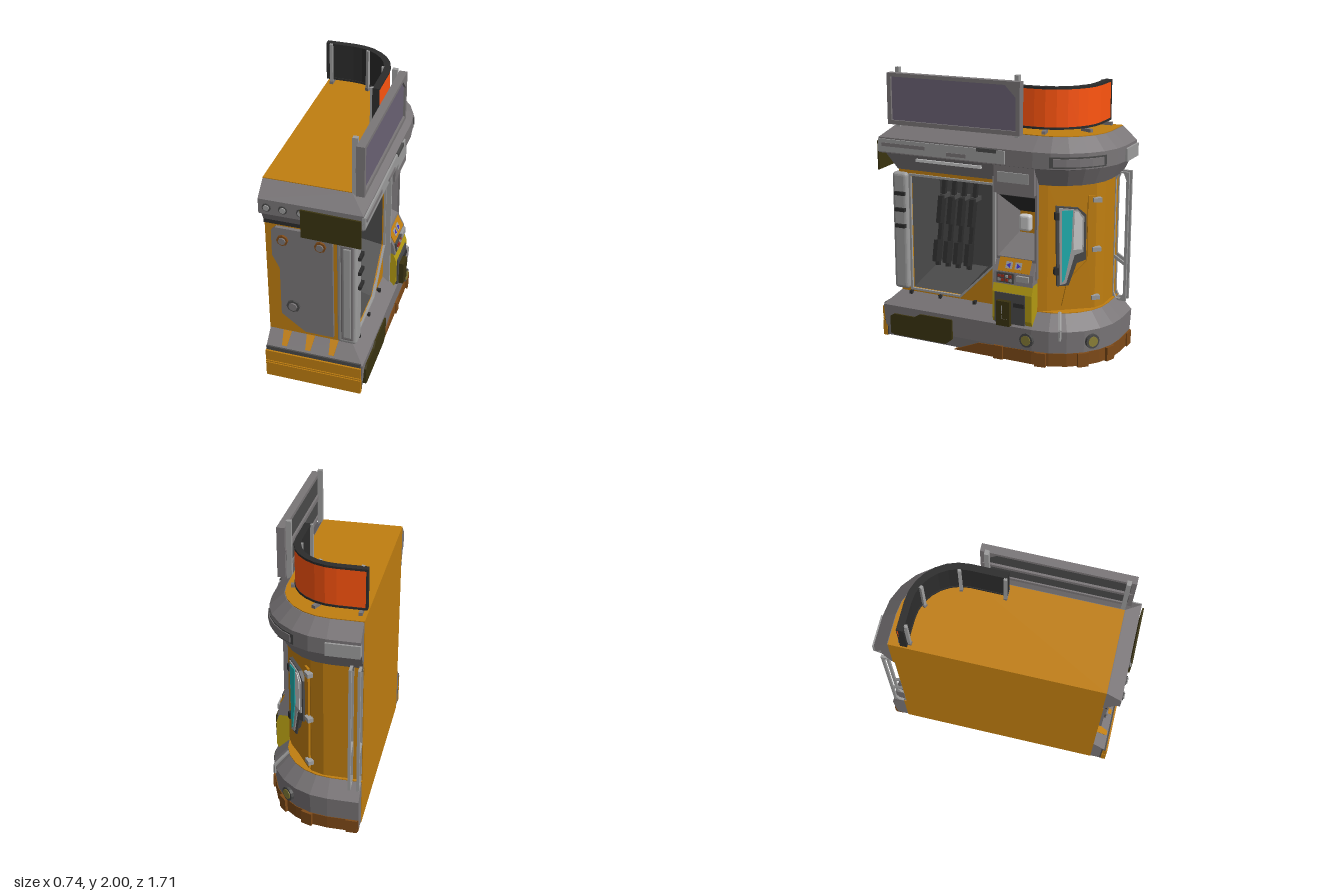
import * as THREE from 'three';
import { RoundedBoxGeometry } from 'three/addons/geometries/RoundedBoxGeometry.js';

const C = {
  orange: 0xc07e10, grey: 0x7a7678, light: 0x9c9c9c, dark: 0x4a4a4a, black: 0x2c2c2c, olive: 0x3a3310, lamp: 0x8a8038,
  flame: 0xff5510, purple: 0x6a6274, brown: 0x7e4a18, cyan: 0x1fb0b0, yellow: 0xb39a12, white: 0xdddddd, blue: 0x3a30c0, red: 0xa03020,
};
const CX = -0.15, CZ = -0.36, R = 0.48; // centre and radius of the rounded back corner
const rad = THREE.MathUtils.degToRad;

export function createModel() {
  const root = new THREE.Group();

  const add = (name, geo, color, pos = [0, 0, 0], rot = [0, 0, 0]) => {
    const m = new THREE.Mesh(geo, new THREE.MeshStandardMaterial({ color: C[color], flatShading: true, side: THREE.DoubleSide }));
    m.name = name;
    m.position.set(...pos);
    m.rotation.set(...rot);
    root.add(m);
    return m;
  };
  // box from min/max ranges
  const box = (name, color, [x0, x1], [y0, y1], [z0, z1]) =>
    add(name, new THREE.BoxGeometry(x1 - x0, y1 - y0, z1 - z0), color, [(x0 + x1) / 2, (y0 + y1) / 2, (z0 + z1) / 2]);
  const shapeOf = (pts, hole) => {
    const s = new THREE.Shape(pts.map(p => new THREE.Vector2(...p)));
    if (hole) s.holes.push(new THREE.Path(hole.map(p => new THREE.Vector2(...p))));
    return s;
  };
  const extrude = (pts, depth, hole) => new THREE.ExtrudeGeometry(shapeOf(pts, hole), { depth, bevelEnabled: false });
  // [z, y] outline, thickened towards +x
  const sidePanel = (name, color, pts, x, depth, hole) => {
    const flip = a => a && a.map(([z, y]) => [-z, y]);
    return add(name, extrude(flip(pts), depth, flip(hole)).rotateY(Math.PI / 2), color, [x, 0, 0]);
  };
  // [x, z] plan outline, raised from y0 to y1
  const prism = (name, color, pts, y0, y1) =>
    add(name, extrude(pts.map(([x, z]) => [x, -z]), y1 - y0).rotateX(-Math.PI / 2), color, [0, y0, 0]);
  const arc = (r, a0, a1, n = 6, cx = CX, cz = CZ) => Array.from({ length: n + 1 }, (_, i) => {
    const a = rad(a0 + (a1 - a0) * i / n);
    return [cx + r * Math.cos(a), cz - r * Math.sin(a)];
  });
  const sector = (name, color, r0, r1, a0, a1, y0, y1, n = 4) =>
    prism(name, color, [...arc(r1, a0, a1, n), ...arc(r0, a0, a1, n).reverse()], y0, y1);
  // plan of the cabinet, pulled in by d
  const plan = (d, x = -0.37) => [[x, 0.83 - d], [0.33 - d, 0.83 - d], ...arc(R - d, 0, 90), [x, CZ - R + d]];
  // skin over equal-length loops of [x, y, z]
  const loft = (loops, capStart = true) => {
    const n = loops[0].length, idx = [];
    loops.slice(1).forEach((_, k) => {
      for (let i = 0; i < n; i++) {
        const a = k * n + i, b = k * n + (i + 1) % n;
        idx.push(a, b, b + n, a, b + n, a + n);
      }
    });
    const last = (loops.length - 1) * n;
    for (let i = 1; i < n - 1; i++) {
      idx.push(last, last + i, last + i + 1);
      if (capStart) idx.push(0, i + 1, i);
    }
    const g = new THREE.BufferGeometry();
    g.setAttribute('position', new THREE.Float32BufferAttribute(loops.flat(2), 3));
    g.setIndex(idx);
    const out = g.toNonIndexed();
    out.computeVertexNormals();
    return out;
  };
  const ring = (name, color, steps) =>
    add(name, loft(steps.map(([y, d]) => plan(d, -0.368).map(([x, z]) => [x, y, z]))), color);
  // place something on the rounded corner, facing outward
  const onArc = (m, a, r, y) => {
    const [[x, z]] = arc(r, a, a, 1);
    m.position.set(x, y, z);
    m.rotation.y = rad(a) + Math.PI / 2;
  };
  const disc = (r, h, n = 12) => new THREE.CylinderGeometry(r, r, h, n).rotateX(Math.PI / 2);

  // core cabinet with room for the open bay and a flat chamfer at the back corner
  prism('lowerCore', 'orange', plan(0.1), 0.01, 0.365);
  prism('upperCore', 'orange', plan(0.105), 1.265, 1.605);
  box('leftWall', 'orange', [-0.37, -0.17], [0.36, 1.27], [-0.4, 0.73]);
  box('frontWall', 'orange', [-0.37, 0.23], [0.36, 1.27], [0.64, 0.73]);
  prism('chamferedBack', 'orange', [[-0.37, CZ], [0.23, CZ], [0.2, -0.42], [-0.01, -0.69], [-0.1, -0.72], [-0.37, -0.72]], 0.36, 1.27);
  ring('baseRing', 'grey', [[0.02, 0.02], [0.1, 0.01], [0.26, 0], [0.36, 0.1]]);
  ring('crownRing', 'grey', [[1.27, 0.095], [1.39, 0.035], [1.4, 0], [1.51, 0], [1.6, 0.1]]);

  // open bay with frame and racked tools
  const bay = [[0.63, 0.39], [0.24, 0.39], [-0.03, 0.66], [-0.03, 1.23], [0.63, 1.23]];
  const bayBack = [[0.62, 0.49], [0.22, 0.49], [-0.02, 0.73], [-0.02, 1.22], [0.62, 1.22]];
  sidePanel('bayWall', 'orange', [[0.73, 0.36], [-0.06, 0.36], [-0.06, 1.27], [0.73, 1.27]], 0.2, 0.03, bay);
  add('bayLining', loft([bay.map(([z, y]) => [0.22, y, z]), bayBack.map(([z, y]) => [-0.16, y, z])], false), 'dark');
  sidePanel('bayFrame', 'light', [[0.645, 0.375], [0.235, 0.375], [-0.045, 0.655], [-0.045, 1.245], [0.645, 1.245]], 0.225, 0.02, bay);
  for (const z of [0.55, 0.465, 0.38, 0.29]) {
    const tilt = [0, 0, 0.2];
    add('toolBarrel', new THREE.BoxGeometry(0.03, 0.7, 0.03), 'black', [-0.06, 0.85, z], tilt);
    add('toolBody', new THREE.BoxGeometry(0.06, 0.2, 0.036), 'black', [-0.05, 0.92, z], tilt);
    add('toolStock', new THREE.BoxGeometry(0.08, 0.16, 0.034), 'black', [0.01, 0.62, z], tilt);
    box('toolRest', 'dark', [-0.16, -0.07], [1.0, 1.03], [z - 0.02, z + 0.02]);
  }
  [0.64, 0.4, 0.12].forEach(z => box('bayPin', 'black', [0.22, 0.26], [0.345, 0.37], [z - 0.01, z + 0.01]));

  // front corner post
  add('cornerPost', new RoundedBoxGeometry(0.14, 0.87, 0.12, 2, 0.025), 'light', [0.2, 0.815, 0.71]);
  add('postRib', new RoundedBoxGeometry(0.09, 0.8, 0.02, 2, 0.01), 'grey', [0.205, 0.815, 0.765]);
  add('postRibInner', new RoundedBoxGeometry(0.06, 0.76, 0.02, 2, 0.01), 'light', [0.205, 0.815, 0.77]);
  [1.1, 0.98, 0.86].forEach(y => box('postClip', 'black', [0.25, 0.29], [y - 0.013, y + 0.013], [0.66, 0.74]));

  // front plate, bolts, bumper and sign
  const plate = [[-0.32, 1.22], [-0.29, 1.25], [0.07, 1.25], [0.1, 1.22], [0.1, 0.4], [-0.1, 0.4], [-0.27, 0.53], [-0.27, 0.92], [-0.32, 1.02]];
  add('frontPlate', extrude(plate, 0.03), 'grey', [0, 0, 0.725]);
  [[-0.24, 1.16, 0.04], [0.02, 1.16, 0.04], [-0.18, 0.62, 0.048]].forEach(([x, y, r], i) => {
    add('boltRing', disc(r, 0.02, 8), i < 2 ? 'brown' : 'dark', [x, y, 0.76]);
    add('boltHead', disc(r * 0.65, 0.03, 8), 'grey', [x, y, 0.765]);
  });
  [-0.31, -0.2, -0.08].forEach(x => {
    add('crownBoltRing', disc(0.03, 0.01), 'dark', [x, 1.455, 0.833]);
    add('crownBolt', disc(0.02, 0.02), 'light', [x, 1.455, 0.835]);
  });
  [-0.24, -0.07, 0.1].forEach(x =>
    add('bevelNotch', extrude([[-0.018, 0.03], [0.018, 0.03], [0.03, 0.14], [-0.03, 0.14]], 0.006), 'orange', [x, 0.26, 0.83], [-Math.PI / 4, 0, 0]));
  box('bumperBacking', 'dark', [-0.368, 0.318], [0.02, 0.27], [0.8, 0.832]);
  [[0.015, 0.13], [0.137, 0.148], [0.155, 0.24]].forEach(y => box('bumperBar', 'orange', [-0.37, 0.32], y, [0.81, 0.845]));
  add('frontSign', extrude([[-0.08, 1.28], [0.32, 1.27], [0.32, 1.48], [-0.08, 1.49]], 0.012), 'olive', [0, 0, 0.838]);
  box('crownDarkBand', 'black', [-0.368, 0.22], [1.275, 1.35], [0.72, 0.752]);

  // trim on the right side
  sidePanel('sidePlate', 'olive', [[0.77, 0.05], [0.74, 0.04], [0.31, 0.04], [0.26, 0.08], [0.26, 0.23], [0.52, 0.23], [0.57, 0.2], [0.74, 0.2], [0.77, 0.18]], 0.315, 0.025);
  box('crownRail', 'light', [0.32, 0.342], [1.41, 1.5], [-0.16, 0.83]);
  box('crownSlot', 'grey', [0.33, 0.346], [1.45, 1.475], [0.45, 0.8]);
  box('crownLabelPlate', 'grey', [0.33, 0.347], [1.425, 1.45], [0.13, 0.28]);
  box('crownTopPlate', 'dark', [0.33, 0.346], [1.48, 1.505], [-0.1, 0.05]);
  box('bayLight', 'white', [0.26, 0.3], [1.35, 1.37], [0.04, 0.55]);

  // terminal column with a funnel-shaped niche
  const zs = [-0.36, -0.06];
  const mouth = [[-0.07, 0.74], [-0.35, 0.74], [-0.35, 1.18], [-0.07, 1.18]];
  const throat = [[-0.15, 0.88], [-0.27, 0.88], [-0.27, 1.03], [-0.15, 1.03]];
  sidePanel('terminalFrame', 'grey', [[-0.05, 0.6], [-0.365, 0.6], [-0.365, 1.4], [-0.05, 1.4]], 0.2, 0.06, mouth);
  add('terminalNiche', loft([mouth.map(([z, y]) => [0.25, y, z]), throat.map(([z, y]) => [0.05, y, z])], false), 'grey');
  const hoodEdge = [[0.24, 1.18, -0.07], [0.24, 1.18, -0.35], [0.06, 1.03, -0.27], [0.06, 1.03, -0.15]];
  add('nicheHood', loft([hoodEdge, hoodEdge.map(([x, y, z]) => [x, y - 0.01, z])]), 'black');
  box('nicheBackPanel', 'orange', [0.05, 0.065], [0.87, 1.03], [-0.27, -0.15]);
  add('nicheLamp', new RoundedBoxGeometry(0.06, 0.12, 0.09, 2, 0.02), 'white', [0.09, 0.95, -0.205]);
  box('terminalHead', 'grey', [0.2, 0.3], [1.2, 1.4], zs);
  box('terminalHeadPlate', 'light', [0.29, 0.312], [1.28, 1.35], [-0.32, -0.09]);
  box('terminalRail', 'light', [0.22, 0.28], [0.32, 1.3], [-0.06, -0.04]);
  add('controlDesk', extrude([[0.15, 0.56], [0.315, 0.56], [0.3, 0.64], [0.25, 0.74], [0.15, 0.74]], 0.3), 'grey', [0, 0, -0.36]);
  const slope = [0, 0, Math.atan2(0.05, 0.1)];
  add('arrowPanel', new THREE.BoxGeometry(0.012, 0.1, 0.24), 'orange', [0.276, 0.69, -0.21], slope);
  [-1, 1].forEach(s => {
    add('arrowTile', new THREE.BoxGeometry(0.012, 0.05, 0.05), 'light', [0.28, 0.688, -0.205 + s * 0.035], slope);
    add('arrowKey', new THREE.CylinderGeometry(0.02, 0.02, 0.012, 3).rotateZ(Math.PI / 2).rotateX(s > 0 ? 0 : Math.PI), 'blue', [0.284, 0.688, -0.205 + s * 0.035], slope);
  });
  box('keypad', 'dark', [0.29, 0.318], [0.57, 0.64], [-0.22, -0.09]);
  for (let i = 0; i < 8; i++) {
    const z = -0.11 - (i % 4) * 0.028, y = 0.59 + Math.floor(i / 4) * 0.028;
    box('key', i % 3 ? 'red' : 'light', [0.31, 0.324], [y - 0.009, y + 0.009], [z - 0.01, z + 0.01]);
  }
  box('cardSlot', 'light', [0.3, 0.322], [0.59, 0.63], [-0.33, -0.24]);
  add('dispenser', extrude([[0.15, 0.27], [0.31, 0.27], [0.325, 0.31], [0.325, 0.5], [0.3, 0.57], [0.15, 0.57]], 0.3), 'yellow', [0, 0, -0.36]);
  box('dispenserDoor', 'dark', [0.31, 0.335], [0.28, 0.5], [-0.31, -0.08]);
  box('dispenserTray', 'olive', [0.33, 0.37], [0.27, 0.45], [-0.21, -0.11]);
  box('dispenserHandle', 'light', [0.35, 0.37], [0.32, 0.42], [-0.2, -0.15]);
  box('dispenserLatch', 'black', [0.32, 0.345], [0.41, 0.44], [-0.31, -0.23]);

  // window hatch and service door on the chamfer, laid out in [z, y]
  const hatch = new THREE.Group();
  hatch.name = 'windowHatch';
  const u = z => (-z - 0.54) / 0.79;
  [['serviceDoor', 'orange', [[-0.64, 1.18], [-0.68, 1.18], [-0.68, 0.38], [-0.5, 0.4], [-0.53, 0.58], [-0.64, 0.72]], 0.015],
    ['hatchFrame', 'dark', [[-0.46, 1.12], [-0.585, 1.1], [-0.63, 1.05], [-0.63, 0.73], [-0.58, 0.71], [-0.535, 0.55], [-0.47, 0.55]], 0.025],
    ['hatchRim', 'light', [[-0.475, 1.11], [-0.58, 1.09], [-0.615, 1.04], [-0.615, 0.79], [-0.565, 0.77], [-0.52, 0.57], [-0.485, 0.56]], 0.033],
    ['hatchGlass', 'cyan', [[-0.49, 1.09], [-0.55, 1.09], [-0.545, 0.82], [-0.51, 0.6], [-0.495, 0.58]], 0.039],
    ['hatchCover', 'white', [[-0.56, 1.08], [-0.58, 1.08], [-0.605, 1.03], [-0.605, 0.81], [-0.555, 0.81]], 0.039],
  ].forEach(([n, c, pts, d]) => hatch.add(add(n, extrude(pts.map(([z, y]) => [u(z), y]), d), c)));
  [1.15, 0.8, 0.45].forEach(y => hatch.add(add('doorHinge', new THREE.BoxGeometry(0.06, 0.03, 0.04), 'light', [u(-0.69), y, 0.015])));
  [1.05, 0.66].forEach(y => hatch.add(add('hatchHinge', new THREE.BoxGeometry(0.03, 0.05, 0.04), 'black', [u(-0.465), y, 0.02])));
  hatch.position.set(0.107, 0, -0.54);
  hatch.rotation.y = Math.atan2(0.27, -0.21);
  root.add(hatch);

  // fittings on the rounded crown and base
  sector('crownVisor', 'dark', R - 0.05, R + 0.005, 14, 62, 1.41, 1.485);
  sector('crownVisorInset', 'grey', R - 0.05, R + 0.01, 17, 59, 1.42, 1.475);
  box('crownBackBlock', 'light', [-0.368, -0.14], [1.4, 1.49], [-0.855, -0.8]);
  [-4, 52].forEach(a => {
    [['lampRing', 0.052, 0.04, 'dark'], ['lamp', 0.037, 0.05, 'lamp']].forEach(([n, r, h, c]) => onArc(add(n, disc(r, h), c), a, R - 0.005, 0.18));
  });
  const rib = [[R, 0.2], [R, 0.27], [R - 0.1, 0.37]].map(([r, y]) => { const [[x, z]] = arc(r, 24, 24, 1); return new THREE.Vector3(x, y, z); });
  [0, 1].forEach(i => add('bevelRib', new THREE.TubeGeometry(new THREE.LineCurve3(rib[i], rib[i + 1]), 1, 0.013, 6), 'light'));

  // guard rails at the back
  const railOuter = [[-0.71, 0.34], [-0.82, 0.34], [-0.82, 1.29], [-0.71, 1.29]];
  const railHole = [[-0.725, 0.4], [-0.745, 0.355], [-0.78, 0.355], [-0.8, 0.4], [-0.8, 1.23], [-0.78, 1.28], [-0.745, 1.28], [-0.725, 1.23]];
  [-0.365, -0.305].forEach(x => {
    sidePanel('guardRail', 'light', railOuter, x, 0.018, railHole);
    sidePanel('guardStrut', 'light', [[-0.72, 0.655], [-0.81, 0.6], [-0.81, 0.625], [-0.72, 0.68]], x, 0.015);
  });

  // brown skirt under the rear half
  sidePanel('sideSkirt', 'brown', [[0.25, 0.005], [0.05, 0.09], [CZ, 0.1], [CZ, 0.005]], 0.29, 0.035);
  sector('rearSkirt', 'brown', R - 0.06, R - 0.005, 0, 90, 0.005, 0.1, 6);
  box('backSkirt', 'brown', [-0.367, CX], [0.005, 0.1], [-0.835, -0.78]);
  box('skirtBlock', 'brown', [0.28, 0.335], [0, 0.1], [-0.14, -0.07]);
  [8, 44, 72].forEach(a => onArc(add('skirtBlock', new THREE.BoxGeometry(0.08, 0.1, 0.05), 'brown'), a, R - 0.015, 0.05));
  box('skirtBlock', 'brown', [-0.36, -0.28], [0, 0.1], [-0.845, -0.79]);

  // flat billboard on the roof
  sidePanel('billboardBack', 'dark', [[0.75, 1.62], [-0.25, 1.62], [-0.25, 1.95], [0.75, 1.95]], 0.27, 0.02);
  const screen = [[0.73, 1.635], [-0.23, 1.635], [-0.23, 1.86], [-0.15, 1.94], [0.73, 1.94]];
  sidePanel('billboardFrame', 'grey', [[0.76, 1.605], [-0.26, 1.605], [-0.26, 1.965], [0.76, 1.965]], 0.26, 0.055, screen);
  sidePanel('billboardScreen', 'purple', screen, 0.28, 0.02);
  box('billboardBrace', 'grey', [0.255, 0.275], [1.77, 1.8], [-0.25, 0.75]);
  [0.71, -0.21].forEach(z => box('billboardPost', 'light', [0.225, 0.26], [1.58, 2], [z - 0.015, z + 0.015]));

  // curved band sign on the roof
  const path = r => [[-0.37, -0.3 - r], ...arc(r, 90, 0, 7, -0.17, -0.3), [-0.17 + r, -0.05]];
  const band = (name, color, r0, r1, y0, y1) => prism(name, color, [...path(r1), ...path(r0).reverse()], y0, y1);
  band('bandBacking', 'black', 0.305, 0.335, 1.64, 1.92);
  band('bandFace', 'flame', 0.335, 0.343, 1.65, 1.91);
  [[1.635, 1.65], [1.905, 1.92]].forEach(y => band('bandRim', 'black', 0.3, 0.347, ...y));
  box('bandEnd', 'black', [0.13, 0.177], [1.635, 1.92], [-0.06, -0.048]);
  box('bandEnd', 'black', [-0.37, -0.358], [1.635, 1.92], [-0.647, -0.6]);
  [[-0.33, -0.3, 90], [-0.17, -0.3, 66], [-0.17, -0.3, 12], [-0.17, -0.06, 0]].forEach(([x, z, a]) => {
    const t = rad(a);
    add('bandPost', new THREE.BoxGeometry(0.022, 0.33, 0.022), 'light', [x + 0.295 * Math.cos(t), 1.755, z - 0.295 * Math.sin(t)], [0, t, 0]);
    add('bandFoot', new THREE.BoxGeometry(0.09, 0.025, 0.025), 'grey', [x + 0.325 * Math.cos(t), 1.615, z - 0.325 * Math.sin(t)], [0, t, 0]);
  });
  return root;
}
